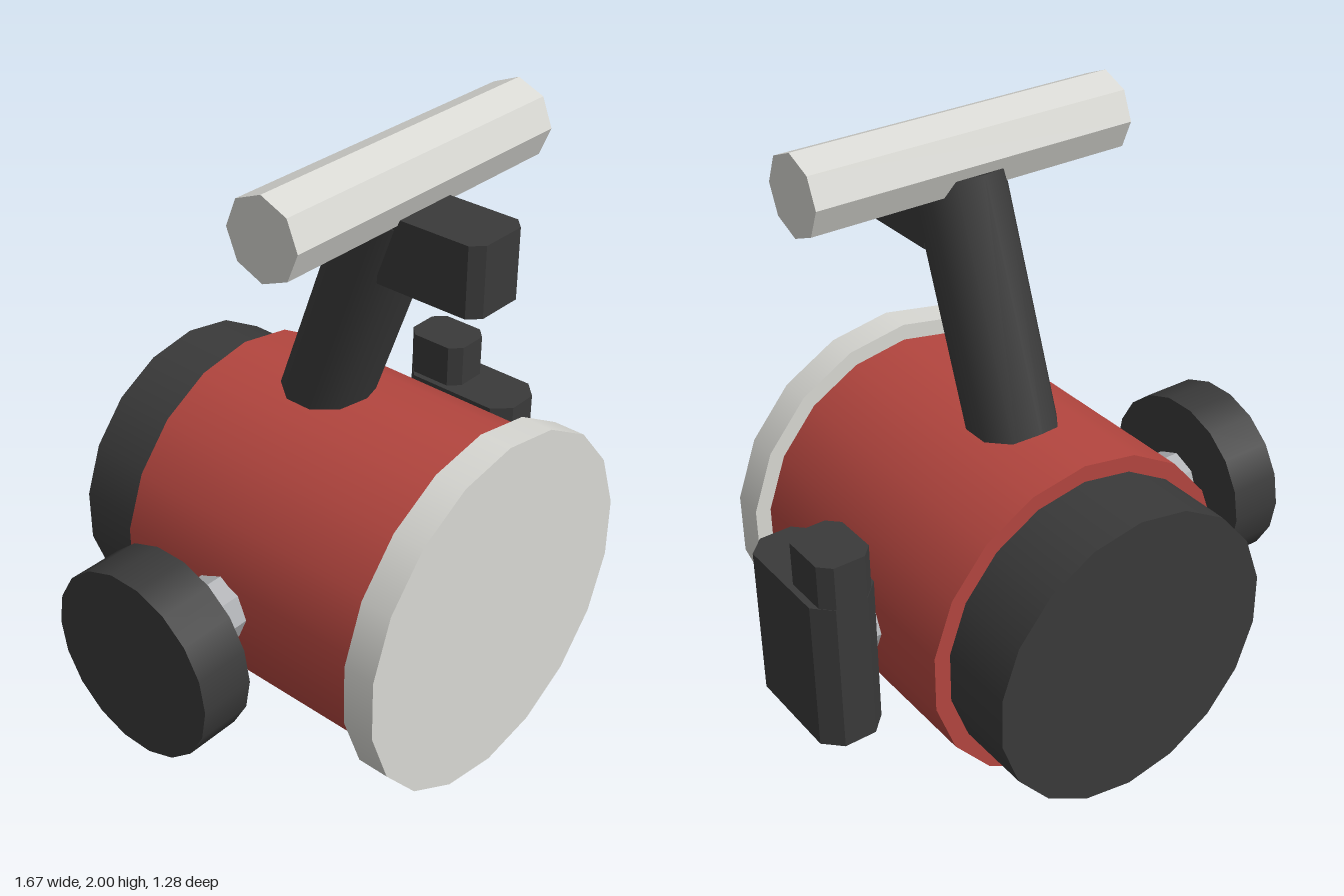
import * as THREE from 'three';

const mat = (name, color) => {
  const m = new THREE.MeshStandardMaterial({ color });
  m.name = name;
  return m;
};

export function createModel() {
  const group = new THREE.Group();
  const red = mat('red', 0xb4463f);
  const black = mat('black', 0x3a3a3a);
  const lightGrey = mat('lightGrey', 0xd8d8d3);
  const steel = mat('steel', 0xb0b2b5);
  const CX = 0.05, CY = 0.593;

  const add = (name, geometry, material, x, y, z) => {
    const mesh = new THREE.Mesh(geometry, material);
    mesh.name = name;
    mesh.position.set(x, y, z);
    group.add(mesh);
    return mesh;
  };
  const faceted = (g) => {
    const flat = g.toNonIndexed();
    flat.computeVertexNormals();
    return flat;
  };

  // Cylinder along z between two depths
  const drum = (name, r, z0, z1, material) =>
    add(name, new THREE.CylinderGeometry(r, r, z1 - z0, 18).rotateX(Math.PI / 2),
      material, CX, CY, (z0 + z1) / 2);

  // Cylinder along x between two sides
  const rod = (name, r, sides, x0, x1, y, z, material, flat) => {
    const g = new THREE.CylinderGeometry(r, r, x1 - x0, sides).rotateZ(Math.PI / 2);
    return add(name, flat ? faceted(g) : g, material, (x0 + x1) / 2, y, z);
  };

  // Upright block with chamfered vertical edges
  const block = (name, x0, x1, y0, y1, z0, z1, c) => {
    const w = (x1 - x0) / 2, d = (z1 - z0) / 2;
    const shape = new THREE.Shape([
      [-w + c, -d], [w - c, -d], [w, -d + c], [w, d - c],
      [w - c, d], [-w + c, d], [-w, d - c], [-w, -d + c],
    ].map(([x, y]) => new THREE.Vector2(x, y)));
    const g = new THREE.ExtrudeGeometry(shape, { depth: y1 - y0, bevelEnabled: false });
    g.rotateX(-Math.PI / 2);
    return add(name, g, black, (x0 + x1) / 2, y0, (z0 + z1) / 2);
  };

  // Main barrel
  drum('body', 0.535, -0.39, 0.545, red);
  drum('frontPlate', 0.588, 0.538, 0.642, lightGrey);
  drum('rearCap', 0.482, -0.64, -0.385, black);

  // Leaning neck, grip bar and trigger block
  const lean = THREE.MathUtils.degToRad(20);
  const neckLength = 0.9;
  const neck = add('neck', new THREE.CylinderGeometry(0.14, 0.14, neckLength, 10), black,
    CX, 1.802 - Math.cos(lean) * neckLength / 2, 0.213 - Math.sin(lean) * neckLength / 2);
  neck.rotation.x = lean;
  rod('handle', 0.124, 8, -0.485, 0.588, 1.879, 0.214, lightGrey, true);
  block('trigger', -0.055, 0.16, 1.595, 1.81, 0.2, 0.573, 0.034);

  // Cross axle with side wheel
  rod('axle', 0.107, 8, -0.67, 0.68, 0.594, 0, steel, true);
  rod('sideWheel', 0.302, 18, -0.84, -0.663, CY, 0, black, false);

  // Side box with its raised top
  block('sideBox', 0.623, 0.835, 0.343, 0.842, -0.213, 0.215, 0.054);
  block('sideBoxTop', 0.643, 0.815, 0.842, 0.985, -0.213, 0, 0.036);

  return group;
}
